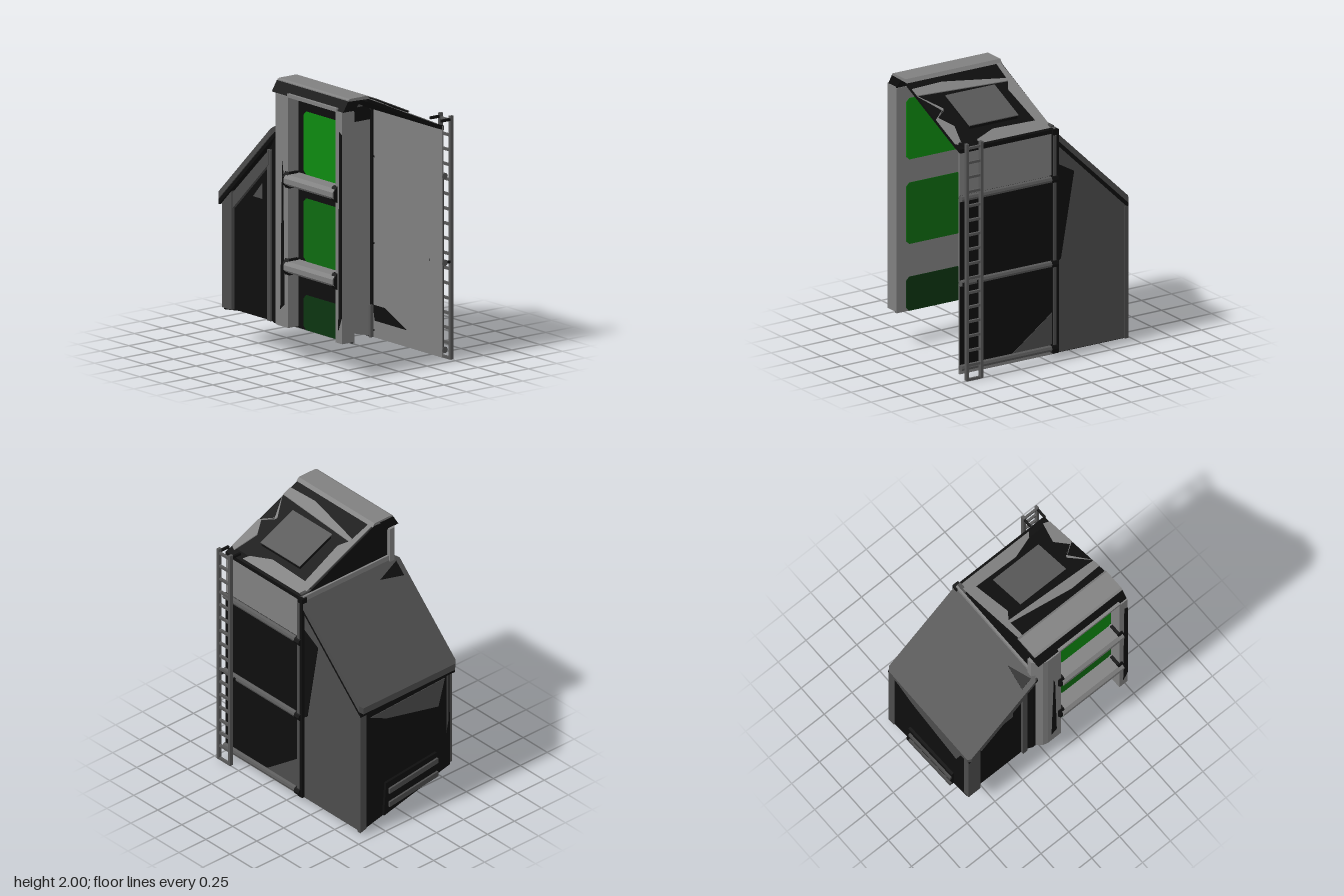
import * as THREE from 'three';

const mat = (name, color) => new THREE.MeshStandardMaterial({ name, color, side: THREE.DoubleSide, flatShading: true });
const M = {
  concrete: mat('concrete grey', 0x808080),
  slate: mat('slate grey', 0x4c4c4c),
  black: mat('soot black', 0x0e0e0e),
  skylight: mat('skylight grey', 0x585858),
  green1: mat('bright green glass', 0x0e8a10),
  green2: mat('mid green glass', 0x0e6a10),
  green3: mat('dark green glass', 0x0b3410),
};

// slope of the cut base, of the tower roof and of the lean-to roof
const baseY = z => 0.03 + 0.242 * (z + 0.43);
const roofY = z => 1.70 + 0.455 * (z + 0.37);
const leanY = x => 1.67 + 0.968 * (x + 0.07);

function polyShape(pts) {
  const s = new THREE.Shape();
  pts.forEach(([u, v], i) => (i ? s.lineTo(u, v) : s.moveTo(u, v)));
  return s;
}

// lift the vertices of a flat geometry onto a sloping surface
function drape(geo, rule) {
  const p = geo.attributes.position;
  for (let i = 0; i < p.count; i++) p.setY(i, p.getY(i) + rule(p.getX(i), p.getZ(i)));
  geo.computeVertexNormals();
  return geo;
}

// outline extruded along an axis from a to b; outline is (x,y), (z,y) or (x,z)
function prismGeo(axis, pts, a, b) {
  const g = new THREE.ExtrudeGeometry(polyShape(pts), { depth: b - a, bevelEnabled: false });
  if (axis === 'z') g.translate(0, 0, a);
  if (axis === 'x') g.rotateY(-Math.PI / 2).translate(b, 0, 0);
  if (axis === 'y') g.rotateX(Math.PI / 2).translate(0, b, 0);
  return g;
}

export function createModel() {
  const root = new THREE.Group();
  root.name = 'tower building';
  const add = (name, geo, m) => {
    const mesh = new THREE.Mesh(geo, m);
    mesh.name = name;
    root.add(mesh);
    return mesh;
  };
  const prism = (name, m, axis, pts, a, b) => add(name, prismGeo(axis, pts, a, b), m);
  const box = (name, m, x0, x1, y0, y1, z0, z1) =>
    add(name, new THREE.BoxGeometry(x1 - x0, y1 - y0, z1 - z0)
      .translate((x0 + x1) / 2, (y0 + y1) / 2, (z0 + z1) / 2), m);

  // tower front wall: dark outside, grey inside
  box('frontWall', M.black, -0.08, 0.713, 0.25, 1.93, 0.375, 0.385);
  box('frontWallLining', M.concrete, -0.08, 0.713, 0.25, 1.9, 0.363, 0.375);

  // green windows with rounded corners, showing on both sides
  [[1.36, 1.81, M.green1], [0.74, 1.19, M.green2], [0.25, 0.5, M.green3]].forEach(([y0, y1, m]) => {
    const r = 0.025, x0 = 0.18, x1 = 0.635;
    prism('window', m, 'z', [[x0 + r, y0], [x1 - r, y0], [x1, y0 + r], [x1, y1 - r],
      [x1 - r, y1], [x0 + r, y1], [x0, y1 - r], [x0, y0 + r]], 0.36, 0.389);
  });

  // pilasters either side of the windows
  prism('leftPilaster', M.concrete, 'y',
    [[-0.1, 0.37], [-0.1, 0.41], [-0.04, 0.465], [0.0, 0.475], [0.115, 0.475], [0.115, 0.37]], 0.26, 1.91);
  box('rightPilaster', M.concrete, 0.64, 0.715, 0.26, 1.91, 0.37, 0.475);
  prism('pilasterStreak', M.black, 'z', [[0.03, 0.38], [0.075, 0.42], [0.06, 1.38], [0.05, 1.44]], 0.475, 0.478);
  prism('pilasterStreak', M.black, 'z', [[0.675, 0.35], [0.714, 0.45], [0.714, 1.75], [0.685, 1.77]], 0.475, 0.478);

  // window sills with dark brackets at both ends
  for (const y of [1.32, 0.70]) {
    prism('sill', M.concrete, 'x', [[0.385, y - 0.04], [0.49, y - 0.04], [0.512, y - 0.02],
      [0.512, y + 0.015], [0.49, y + 0.04], [0.385, y + 0.04]], 0.11, 0.655);
    for (const x of [0.1, 0.63])
      prism('sillBracket', M.black, 'x', [[0.4, y - 0.06], [0.48, y - 0.06], [0.505, y - 0.02],
        [0.505, y + 0.02], [0.48, y + 0.055], [0.4, y + 0.055]], x - 0.012, x + 0.034);
  }
  box('windowHead', M.concrete, 0.1, 0.65, 1.905, 1.93, 0.39, 0.475);

  // cornice
  prism('corniceFascia', M.black, 'x', [[0.37, 1.9], [0.465, 1.91], [0.42, 1.985], [0.3, 1.985]], -0.08, 0.714);
  prism('corniceCap', M.concrete, 'x', [[0.42, 1.982], [0.42, 1.992], [0.405, 2], [0.25, 2], [0.23, 1.975]], -0.075, 0.715);

  // sloping tower roof
  prism('roof', M.black, 'x', [[0.25, 1.98], [0.25, 1.955], [-0.37, 1.67], [-0.43, 1.65], [-0.43, 1.68], [-0.37, 1.7]], -0.06, 0.713);
  const roofPatch = (name, m, pts, lift = 0) =>
    add(name, drape(prismGeo('y', pts, lift, lift + 0.006), (x, z) => roofY(z)), m);
  roofPatch('roofRakeTrim', M.concrete, [[-0.065, -0.41], [0.07, -0.41], [0.01, -0.32], [0.03, 0.0], [-0.02, 0.07], [-0.03, 0.23], [-0.065, 0.23]]);
  roofPatch('roofBackTrim', M.concrete, [[0.0, -0.41], [0.56, -0.41], [0.53, -0.37], [0.36, -0.31], [0.0, -0.32]]);
  roofPatch('roofBand', M.concrete, [[-0.02, 0.065], [0.714, 0.105], [0.714, 0.17], [0.46, 0.178], [-0.02, 0.09]]);
  roofPatch('roofSidePatch', M.concrete, [[0.67, -0.39], [0.714, -0.37], [0.714, -0.13], [0.61, -0.07], [0.714, 0.1],
    [0.6, -0.05], [0.69, -0.12], [0.62, -0.22]]);
  roofPatch('skylight', M.skylight, [[0.12, -0.27], [0.53, -0.27], [0.53, 0.03], [0.12, 0.03]], 0.024);
  add('skylightCurb', drape(prismGeo('y', [[0.125, -0.265], [0.525, -0.265], [0.525, 0.025], [0.125, 0.025]], 0, 0.024),
    (x, z) => roofY(z)), M.black);

  // tower left wall: grey inner face below, dark gable above the lean-to
  prism('dividingWall', M.concrete, 'x', [[-0.42, baseY(-0.42)], [0.38, baseY(0.38)], [0.38, 1.69], [-0.42, 1.69]], -0.09, -0.075);
  prism('gable', M.black, 'x', [[-0.42, 1.6], [0.4, 1.6], [0.4, 1.97], [0.25, 1.98], [-0.37, 1.69]], -0.075, -0.06);
  prism('gablePatch', M.concrete, 'x', [[0.37, 1.71], [0.37, 1.9], [0.2, 1.87], [0.23, 1.73]], -0.06, -0.055);
  prism('gableTrim', M.slate, 'x', [[-0.42, 1.69], [0.38, 1.69], [0.38, 1.705], [-0.42, 1.705]], -0.075, -0.05);

  // tower back wall: grey with dark panels, pipes and a corner column
  box('backWall', M.concrete, -0.08, 0.713, 0.03, 1.68, -0.425, -0.41);
  box('backPanel', M.black, -0.08, 0.713, 0.1, 1.34, -0.431, -0.425);
  prism('backPanelPatch', M.slate, 'z', [[0.28, 0.1], [-0.05, 0.1], [-0.05, 0.34]], -0.434, -0.431);
  prism('innerWallPatch', M.black, 'z', [[-0.05, 0.26], [-0.03, 0.15], [0.32, 0.15], [0.08, 0.26]], -0.41, -0.406);
  box('backColumn', M.black, -0.1, -0.05, 0.04, 1.68, -0.445, -0.4);
  box('backColumnFace', M.slate, -0.075, -0.05, 0.06, 1.64, -0.45, -0.445);
  for (const y of [1.32, 0.70, 0.08]) {
    add('backPipe', new THREE.CylinderGeometry(0.024, 0.024, 0.77, 8).rotateZ(Math.PI / 2).translate(0.33, y, -0.437), M.skylight);
    add('pipeCollar', new THREE.CylinderGeometry(0.03, 0.03, 0.05, 8).rotateZ(Math.PI / 2).translate(-0.06, y, -0.437), M.black);
  }

  // lean-to roof with chamfered corners and dark underside trim
  const leanOutline = [[-0.7, -0.41], [-0.68, -0.435], [-0.1, -0.435], [-0.07, -0.41], [-0.07, 0.42], [-0.1, 0.46], [-0.68, 0.46], [-0.7, 0.44]];
  add('leanToRoof', drape(prismGeo('y', leanOutline, -0.05, 0), x => leanY(x)), M.slate);
  add('leanToRoofTrim', drape(prismGeo('y', [[-0.69, -0.43], [-0.07, -0.43], [-0.07, 0.45], [-0.69, 0.45]], -0.085, -0.05), x => leanY(x)), M.black);
  add('leanToRoofPatch', drape(prismGeo('y', [[-0.16, 0.23], [-0.11, 0.42], [-0.19, 0.42]], 0, 0.004), x => leanY(x)), M.black);

  // lean-to walls
  const gableWall = y0 => [[-0.68, y0], [-0.08, y0], [-0.08, leanY(-0.08) - 0.05], [-0.68, leanY(-0.68) - 0.05]];
  prism('leanToFront', M.black, 'z', gableWall(0.25), 0.39, 0.405);
  prism('leanToBack', M.black, 'z', gableWall(0.03), -0.415, -0.4);
  prism('leanToBackFace', M.slate, 'z', gableWall(0.035), -0.421, -0.415);
  prism('leanToBackPatch', M.black, 'z', [[-0.1, 1.42], [-0.24, 1.34], [-0.13, 0.72], [-0.1, 0.7]], -0.425, -0.421);
  prism('leanToSide', M.black, 'x', [[-0.42, baseY(-0.42)], [0.41, baseY(0.41)], [0.41, 1.02], [-0.42, 1.02]], -0.68, -0.665);
  prism('sidePatch', M.slate, 'x', [[-0.33, 0.94], [0.36, 0.97], [0.3, 0.76], [-0.18, 0.87]], -0.684, -0.68);

  // lean-to front frame
  prism('frontPost', M.slate, 'z', [[-0.68, 0.25], [-0.57, 0.25], [-0.57, 1.1], [-0.68, 1.0]], 0.38, 0.43);
  box('innerPost', M.slate, -0.185, -0.145, 0.25, 1.47, 0.39, 0.425);
  prism('slopingBeam', M.slate, 'z', [[-0.56, 0.98], [-0.16, 1.37], [-0.16, 1.47], [-0.56, 1.09]], 0.39, 0.43);
  prism('frontPatch', M.slate, 'z', [[-0.36, 1.1], [-0.26, 1.1], [-0.26, 1.21]], 0.405, 0.409);
  prism('backPost', M.slate, 'x', [[-0.43, 0.03], [-0.37, 0.045], [-0.37, 1.0], [-0.43, 1.0]], -0.688, -0.66);
  prism('cornerPost', M.black, 'y', [[-0.145, 0.38], [-0.07, 0.38], [-0.07, 0.43], [-0.1, 0.43], [-0.145, 0.41]], 0.25, 1.6);
  prism('footPatch', M.slate, 'z', [[-0.27, 0.25], [-0.13, 0.25], [-0.13, 0.12], [-0.19, 0.13]], -0.4, -0.396);
  box('footPost', M.skylight, -0.065, -0.045, 0.03, 0.26, -0.41, -0.38);

  // louvred vent low on the lean-to side
  prism('ventHousing', M.black, 'x', [[-0.22, 0.09], [0.27, 0.21], [0.27, 0.4], [-0.2, 0.35]], -0.7, -0.68);
  for (const y of [0.18, 0.29])
    prism('ventLouvre', M.slate, 'x', [[-0.18, y - 0.03], [0.27, y + 0.03], [0.27, y + 0.07], [-0.18, y + 0.01]], -0.715, -0.695);

  // ladder on the back
  for (const x of [0.585, 0.704]) {
    box('ladderRail', M.skylight, x - 0.01, x + 0.01, 0.005, 1.74, -0.513, -0.485);
    for (const y of [1.715, 0.7])
      box('ladderBracket', M.black, x - 0.008, x + 0.008, y - 0.009, y + 0.009, -0.49, -0.41);
  }
  for (let i = 0; i < 17; i++)
    box('ladderRung', M.skylight, 0.585, 0.704, i * 0.106, i * 0.106 + 0.018, -0.507, -0.49);

  return root;
}
